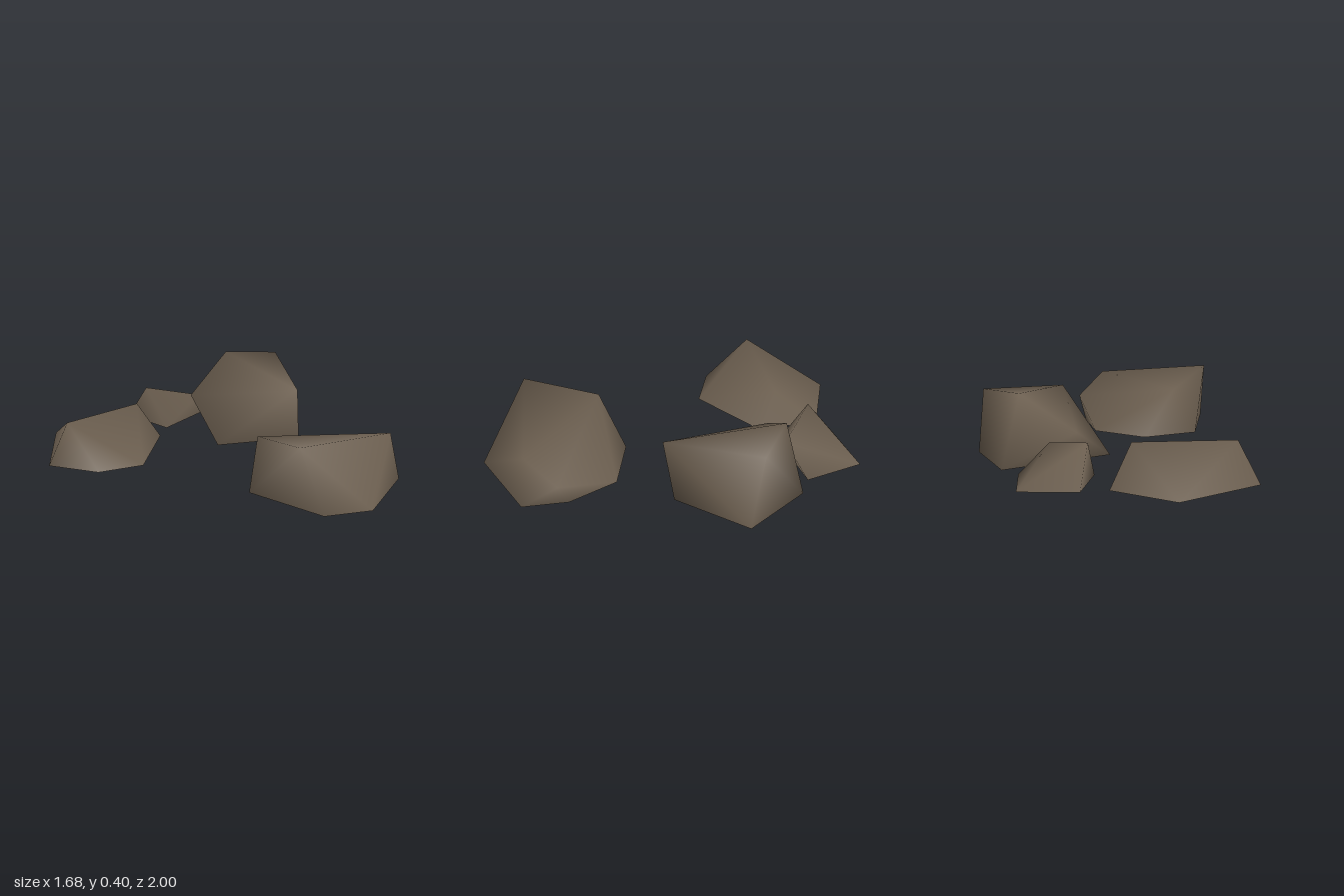
import * as THREE from 'three';
import { ConvexGeometry } from 'three/addons/geometries/ConvexGeometry.js';
import { mergeVertices } from 'three/addons/utils/BufferGeometryUtils.js';

const stone = new THREE.MeshStandardMaterial({ color: 0x6b5e4f, side: THREE.DoubleSide });
stone.name = 'brown stone';

// A rock is the hull over a ground outline [x, z] and a few crest points [x, y, z],
// with smooth normals and an open underside.
function makeRock(name, outline, crest) {
  const points = [
    ...outline.map(([x, z]) => new THREE.Vector3(x, 0, z)),
    ...crest.map((p) => new THREE.Vector3(...p)),
  ];
  const hull = new ConvexGeometry(points);
  hull.deleteAttribute('normal');
  const geometry = mergeVertices(hull);

  // Drop the faces lying on the ground
  const y = (i) => geometry.attributes.position.getY(i);
  const index = geometry.index.array;
  const kept = [];
  for (let i = 0; i < index.length; i += 3) {
    const face = [index[i], index[i + 1], index[i + 2]];
    if (face.some((v) => y(v) > 0.001)) kept.push(...face);
  }
  geometry.setIndex(kept);
  geometry.computeVertexNormals();

  const mesh = new THREE.Mesh(geometry, stone);
  mesh.name = name;
  return mesh;
}

export function createModel() {
  const group = new THREE.Group();
  group.name = 'rocks';

  // Broad rock at the front, highest at its left shoulder
  group.add(makeRock('frontRock',
    [[0.02, 0.55], [0.2, 0.28], [0.53, 0.25], [0.75, 0.45], [0.84, 0.68], [0.5, 1], [0.24, 0.97]],
    [[0.15, 0.34, 0.86], [0.11, 0.265, 0.45], [0.78, 0.265, 0.67], [0.82, 0.14, 0.48]]));

  // Tall block with a leaning front corner
  group.add(makeRock('tallRock',
    [[0.43, -0.73], [0.78, -0.51], [0.62, -0.08], [0.14, -0.15]],
    [[0.57, 0.32, -0.01], [0.39, 0.4, -0.62], [0.69, 0.38, -0.56], [0.11, 0.2, -0.49]]));

  // Low rock with a long ridge
  group.add(makeRock('flatRock',
    [[-0.84, -0.21], [-0.66, -0.7], [-0.26, -0.72], [-0.11, -0.42], [-0.36, -0.02], [-0.62, -0.015]],
    [[-0.72, 0.225, -0.24], [-0.23, 0.195, -0.48]]));

  // Small wedge at the back
  group.add(makeRock('smallRock',
    [[-0.16, -0.83], [0.11, -1], [0.31, -0.74], [-0.03, -0.53]],
    [[-0.1, 0.215, -0.68], [0.21, 0.155, -0.6]]));

  return group;
}
